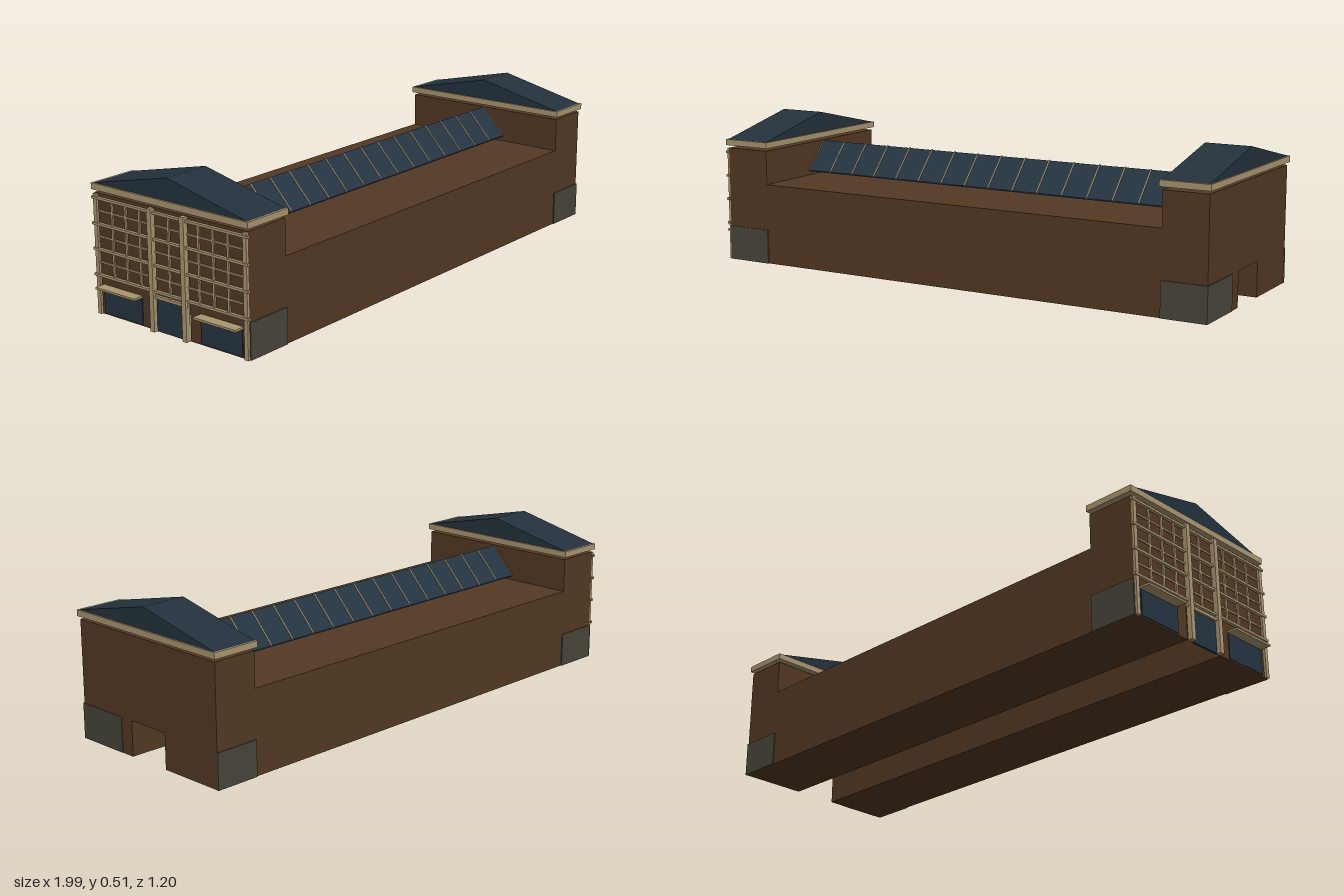
import * as THREE from 'three';

const mat = (name, color) => {
  const m = new THREE.MeshStandardMaterial({ color });
  m.name = name;
  return m;
};

export function createModel() {
  const brick = mat('brick', 0x543923);
  const slate = mat('slate', 0x24323d);
  const glass = mat('glass', 0x253441);
  const trim = mat('trim', 0xab9670);
  const stone = mat('stone', 0x48463a);

  const model = new THREE.Group();
  model.name = 'hall';

  const add = (name, geometry, material) => {
    const mesh = new THREE.Mesh(geometry, material);
    mesh.name = name;
    model.add(mesh);
    return mesh;
  };
  // Box given by its limits: x along the hall, z across it
  const box = (name, material, x0, x1, y0, y1, z0, z1) => {
    const g = new THREE.BoxGeometry(x1 - x0, y1 - y0, z1 - z0);
    g.translate((x0 + x1) / 2, (y0 + y1) / 2, (z0 + z1) / 2);
    return add(name, g, material);
  };
  // Cross-section (z, y) swept along the hall from x0 to x1
  const sweep = (name, material, points, x0, x1) => {
    const shape = new THREE.Shape(points.map(([z, y]) => new THREE.Vector2(-z, y)));
    const g = new THREE.ExtrudeGeometry(shape, { depth: x1 - x0, bevelEnabled: false });
    g.rotateY(Math.PI / 2);
    g.translate(x0, 0, 0);
    return add(name, g, material);
  };

  const W = 0.322; // half width of the walls
  const P = 0.08;  // half width of the passage
  const F = -0.917; // facade plane
  const section = (h) => [
    [-W, 0], [-P, 0], [-P, 0.12], [P, 0.12], [P, 0], [W, 0], [W, h], [-W, h],
  ];

  // Long low hall between two taller end blocks, with a passage beneath
  sweep('hallWalls', brick, section(0.283), -0.751, 0.773);
  const blocks = [[F, -0.751], [0.773, 0.929]];
  for (const [x0, x1] of blocks) {
    sweep('endBlock', brick, section(0.402), x0, x1);
    // Eave and gabled roof
    box('eave', trim, x0 - 0.008, x1 + 0.007, 0.412, 0.433, -0.329, 0.329);
    sweep('roof', slate, [[-0.322, 0.433], [0.322, 0.433], [0, 0.506]], x0 - 0.002, x1 + 0.001);
    // Stone corner plinths on the long sides
    for (const s of [-1, 1]) {
      const z = [s * (W - 0.003), s * (W + 0.004)].sort((a, b) => a - b);
      box('plinth', stone, x0, x1 + 0.001, 0, 0.12, z[0], z[1]);
    }
  }
  box('endPlinth', stone, 0.926, 0.931, 0, 0.12, 0.13, W + 0.004);

  // Raised skylight with evenly spaced ribs
  const chevron = (d, t) => [
    [-0.092, 0.304 + d], [-0.092, 0.304 + d - t], [0, 0.402 + d - t],
    [0.092, 0.304 + d - t], [0.092, 0.304 + d], [0, 0.402 + d],
  ];
  const s0 = -0.738, s1 = 0.773, panes = 16;
  sweep('skylight', glass, chevron(0, 0.004), s0, s1);
  for (let i = 0; i <= panes; i++) {
    const x = s0 + ((s1 - s0) * i) / panes;
    sweep('skylightRib', trim, chevron(0.003, 0.004), x - 0.002, x + 0.002);
  }

  // Facade: door, shop windows and canopies
  box('door', glass, F - 0.003, F + 0.004, 0, 0.11, -0.06, 0.06);
  box('doorLintel', trim, F - 0.01, F, 0.11, 0.12, -0.08, 0.08);
  for (const s of [-1, 1]) {
    const span = (a, b) => (s > 0 ? [a, b] : [-b, -a]);
    box('shopWindow', glass, F - 0.003, F + 0.002, 0.005, 0.092, ...span(0.125, 0.295));
    box('canopy', trim, -0.954, F, 0.094, 0.101, ...span(0.125, 0.298));
    // Pilasters
    box('innerPilaster', trim, -0.934, F, 0, 0.4, ...span(0.06, 0.078));
    box('outerPilaster', trim, F - 0.008, F, 0, 0.4, ...span(0.307, W));
    // Mullions of the upper windows
    for (const z of [0.12, 0.18, 0.24]) {
      box('mullion', trim, F - 0.005, F, 0.13, 0.39, ...span(z, z + 0.008));
    }
  }
  box('centreMullion', trim, F - 0.005, F, 0.12, 0.39, -0.004, 0.004);
  // Horizontal ledges across the facade
  for (const y of [0.132, 0.218, 0.302, 0.387]) {
    box('ledge', trim, F - 0.011, F, y - 0.004, y + 0.004, -W - 0.006, W + 0.006);
  }
  for (const y of [0.175, 0.26, 0.345]) {
    box('transom', trim, F - 0.004, F, y - 0.003, y + 0.003, -W, W);
  }

  model.rotation.y = THREE.MathUtils.degToRad(18);
  const root = new THREE.Group();
  root.name = 'building';
  root.add(model);
  return root;
}
